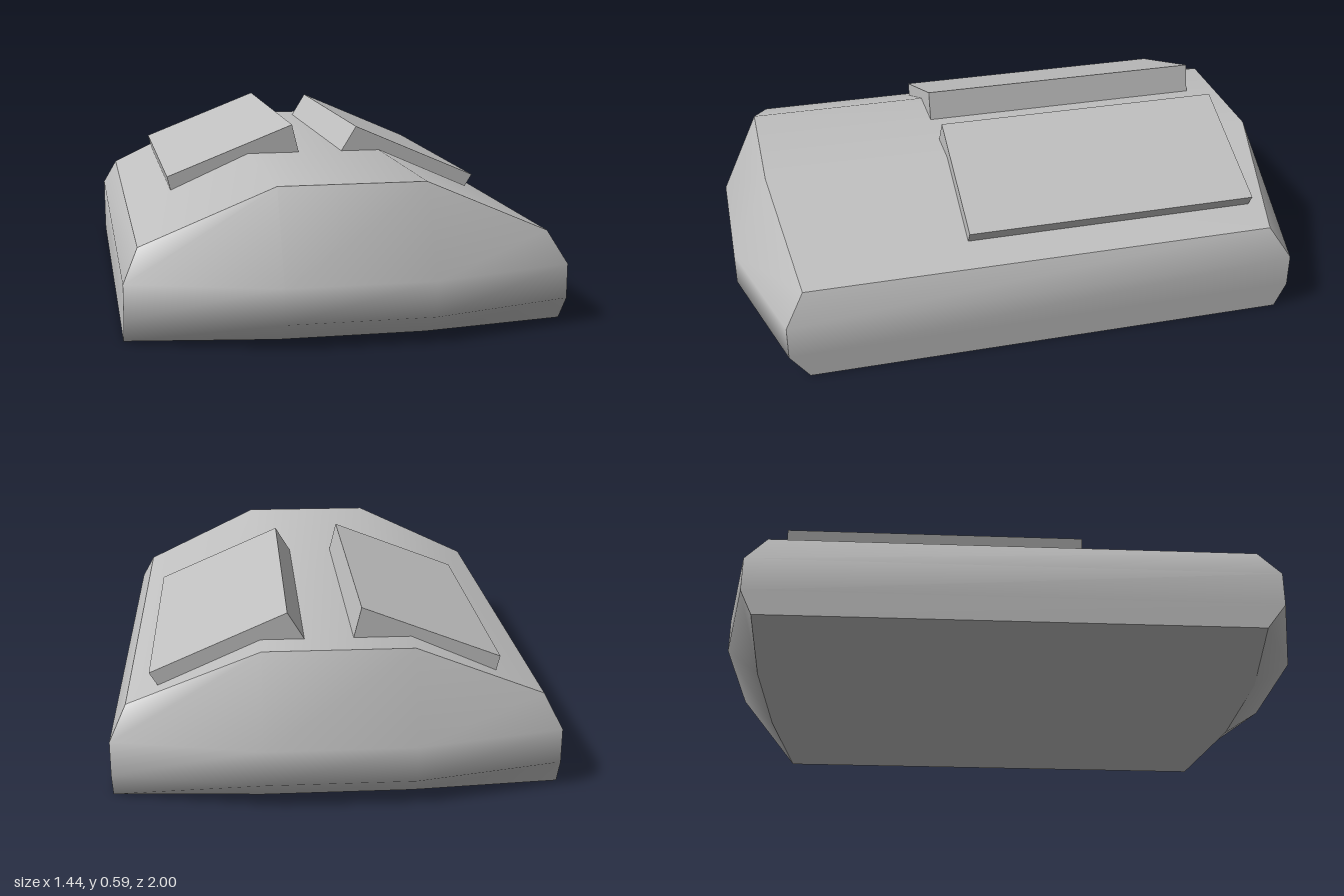
import * as THREE from 'three';

const X = [-0.72, -0.24, 0.24, 0.72];

// Smooth patch from rows of points; each row runs left to right, rows run upwards, seen from outside
function patch(name, rows, material) {
  const n = rows[0].length;
  const index = [];
  for (let r = 0; r < rows.length - 1; r++) {
    for (let c = 0; c < n - 1; c++) {
      const a = r * n + c, b = a + 1, d = a + n, e = d + 1;
      index.push(a, b, e, a, e, d);
    }
  }
  const geometry = new THREE.BufferGeometry();
  geometry.setAttribute('position', new THREE.Float32BufferAttribute(rows.flat(2), 3));
  geometry.setIndex(index);
  geometry.computeVertexNormals();
  const mesh = new THREE.Mesh(geometry, material);
  mesh.name = name;
  return mesh;
}

// One end of the hull: levels are [y, z at the middle, z at the corners]
function endRows(levels, topMid, topCorner) {
  const rows = levels.map(([y, mid, corner]) =>
    X.map((x) => [x, y, Math.abs(x) > 0.5 ? corner : mid]));
  rows.push(X.map((x) => Math.abs(x) > 0.5
    ? [Math.sign(x) * 0.67, 0.3, topCorner]
    : [x, 0.49, topMid]));
  return rows;
}

// Raised panel: section in x and y, extruded along z
function panel(name, points, material) {
  const shape = new THREE.Shape(points.map(([x, y]) => new THREE.Vector2(x, y)));
  const geometry = new THREE.ExtrudeGeometry(shape, { depth: 1.015, bevelEnabled: false });
  geometry.translate(0, 0, -0.787);
  const mesh = new THREE.Mesh(geometry, material);
  mesh.name = name;
  return mesh;
}

export function createModel() {
  const grey = new THREE.MeshStandardMaterial({ color: 0xc0c0c0 });
  grey.name = 'plain grey';
  const model = new THREE.Group();
  model.name = 'hullWithPanels';

  const front = endRows([[0, 0.87, 0.8], [0.085, 1, 0.865], [0.2, 1, 0.865]], 0.865, 0.8);
  const back = endRows([[0, -0.89, -0.855], [0.085, -1, -0.895], [0.2, -1, -0.895]], -0.895, -0.83);
  const last = front.length - 1;

  // Hull: six smooth patches meeting at sharp edges
  const hull = new THREE.Group();
  hull.name = 'hull';
  hull.add(
    patch('hullFront', front, grey),
    patch('hullBack', back.map((row) => [...row].reverse()), grey),
    patch('hullLeftSide', front.map((row, i) => [row[3], back[i][3]]), grey),
    patch('hullRightSide', front.map((row, i) => [back[i][0], row[0]]), grey),
    patch('hullTop', [front[last], back[last]], grey),
    patch('hullBottom', [back[0], front[0]], grey),
  );
  model.add(hull);

  // Two tilted panels sunk into the sloping top
  model.add(
    panel('rightPanel', [[-0.53, 0.415], [-0.515, 0.355], [-0.24, 0.45], [-0.053, 0.48], [-0.08, 0.59]], grey),
    panel('leftPanel', [[0.155, 0.578], [0.095, 0.48], [0.24, 0.45], [0.568, 0.343], [0.595, 0.387]], grey),
  );
  return model;
}
